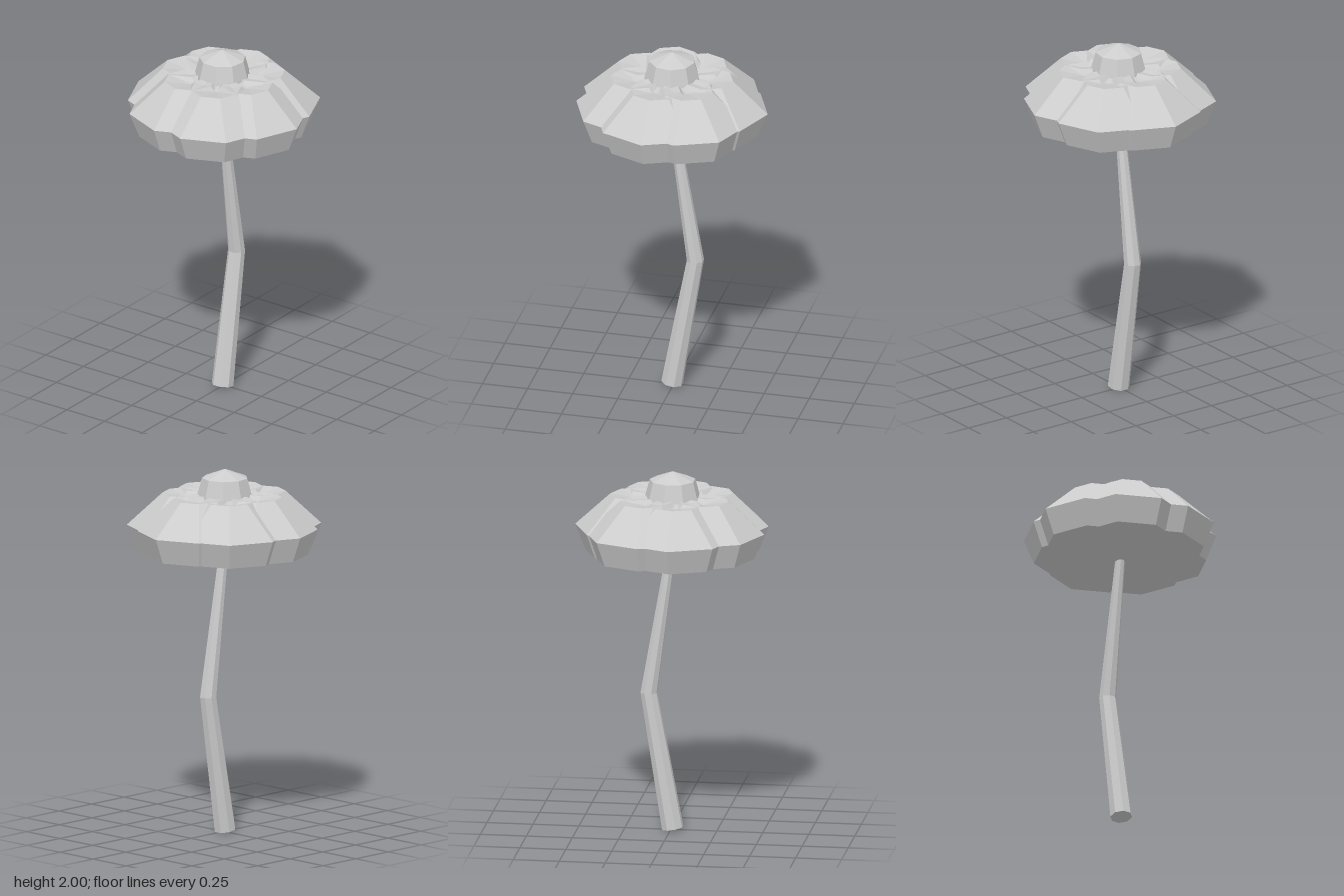
import * as THREE from 'three';

const grey = new THREE.MeshStandardMaterial({ color: 0xcccccc });
grey.name = 'light grey';

// Faceted mesh: split faces so every facet gets its own normal
function faceted(geometry, name) {
  const g = geometry.toNonIndexed();
  g.computeVertexNormals();
  const mesh = new THREE.Mesh(g, grey);
  mesh.name = name;
  return mesh;
}

function lathe(profile, sides, start = 0) {
  return new THREE.LatheGeometry(profile.map(([r, y]) => new THREE.Vector2(r, y)), sides, start);
}

// Tapered, bent stem lofted through tilted rings: [x, y, radius, tilt about z]
function stemGeometry(rings, sides) {
  const positions = [], index = [];
  for (const [x, y, r, tilt] of rings) {
    for (let i = 0; i < sides; i++) {
      const a = ((i + 0.5) / sides) * Math.PI * 2;
      const u = r * Math.sin(a);
      positions.push(x + u * Math.cos(tilt), y + u * Math.sin(tilt), r * Math.cos(a));
    }
  }
  for (let k = 0; k < rings.length - 1; k++) {
    for (let i = 0; i < sides; i++) {
      const a = k * sides + i, b = k * sides + ((i + 1) % sides);
      index.push(a, b, b + sides, a, b + sides, a + sides);
    }
  }
  // Base cap
  for (let i = 1; i < sides - 1; i++) index.push(0, i + 1, i);
  const g = new THREE.BufferGeometry();
  g.setAttribute('position', new THREE.Float32BufferAttribute(positions, 3));
  g.setIndex(index);
  return g;
}

export function createModel() {
  const model = new THREE.Group();
  model.name = 'flower';
  const cx = -0.01;

  // Stem
  const stem = [
    [-0.01, 0.014, 0.06, -0.17],
    [0.119, 0.765, 0.047, 0],
    [-0.008, 1.6, 0.025, 0.15],
  ];
  model.add(faceted(stemGeometry(stem, 8), 'stem'));

  // Seven overlapping petals, all facing the same way, with slightly dished tops
  const petals = new THREE.Group();
  petals.name = 'petals';
  const petal = lathe([[0, 1.5], [0.276, 1.55], [0.33, 1.688], [0.138, 1.865], [0, 1.84]], 8);
  for (let i = 0; i < 7; i++) {
    const a = (i / 7) * Math.PI * 2;
    const mesh = faceted(petal, 'petal');
    mesh.position.set(cx + 0.2 * Math.cos(a), 0, 0.2 * Math.sin(a));
    petals.add(mesh);
  }
  model.add(petals);

  // Central dome
  const dome = faceted(lathe([[0.164, 1.8], [0.148, 1.865], [0.125, 1.952], [0, 2]], 9, Math.PI / 2), 'centre');
  dome.position.x = cx;
  model.add(dome);

  return model;
}
